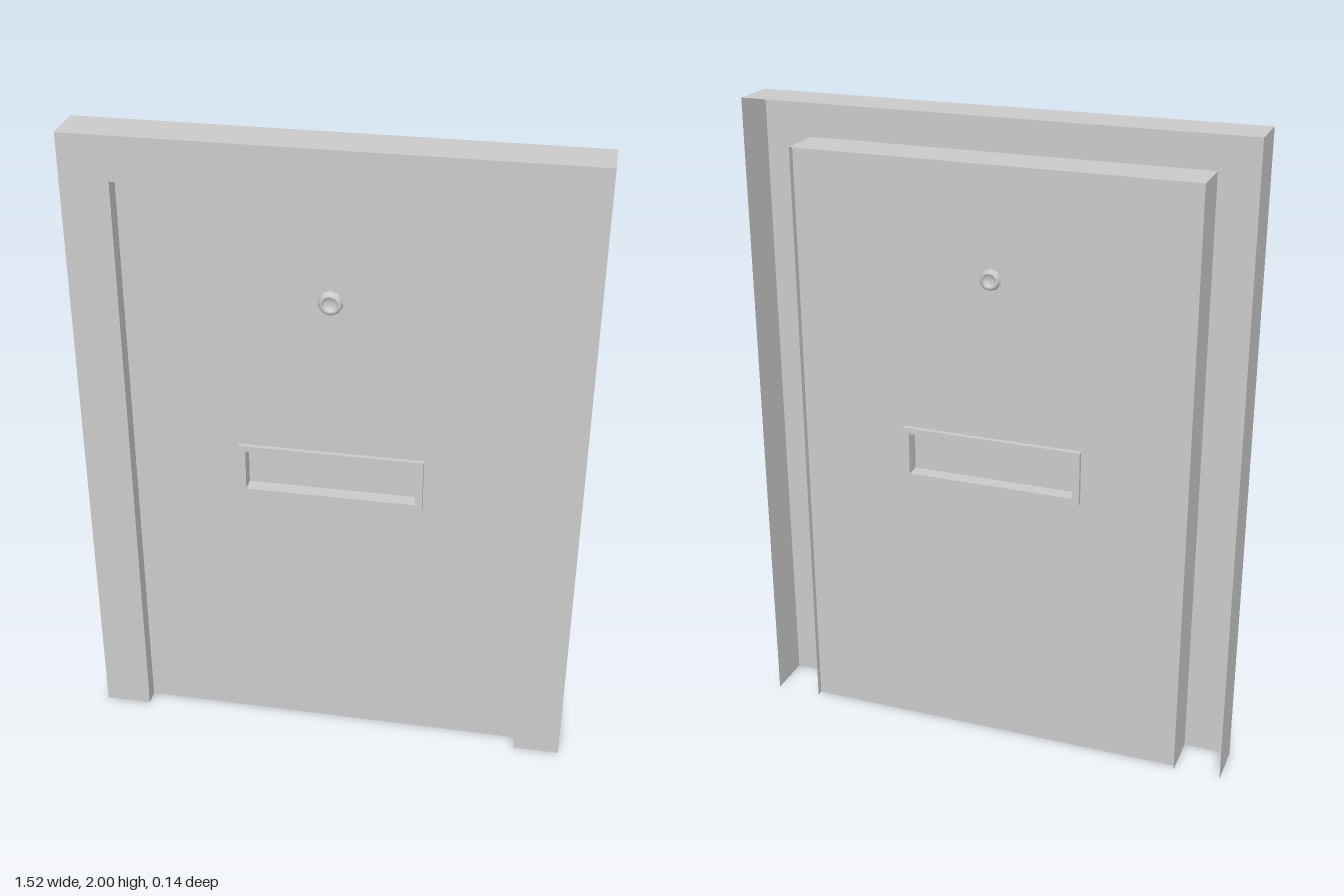
import * as THREE from 'three';

const mat = new THREE.MeshStandardMaterial({ color: 0xcccccc, flatShading: true });
const sheetMat = new THREE.MeshStandardMaterial({ color: 0xcccccc, flatShading: true, side: THREE.DoubleSide });
const smoothMat = new THREE.MeshStandardMaterial({ color: 0xcccccc, side: THREE.DoubleSide });

const W = 0.762, H = 2, D = 0.072;             // frame half width, height, half depth
const IW = 0.616, IH = 1.867;                  // opening half width and height
const DOOR_FRONT = 0.022, DOOR_BACK = -0.052;
const MID = (DOOR_FRONT + DOOR_BACK) / 2;
const SLOT_Y = 0.945, EYE_Y = 1.527;

function add(parent, name, geometry, material = mat) {
  const mesh = new THREE.Mesh(geometry, material);
  mesh.name = name;
  parent.add(mesh);
  return mesh;
}

function rectangle(Type, x, y0, y1) {
  return new Type([[-x, y0], [x, y0], [x, y1], [-x, y1]].map(p => new THREE.Vector2(...p)));
}

function slab(shape, z0, z1) {
  return new THREE.ExtrudeGeometry(shape, { depth: z1 - z0, bevelEnabled: false }).translate(0, 0, z0);
}

// Thin wall running up, across and down an opening, from back to front
function archWall(halfWidth, height) {
  const pos = [], path = [[-halfWidth, 0], [-halfWidth, height], [halfWidth, height], [halfWidth, 0]];
  for (let i = 0; i < 3; i++) {
    const [ax, ay] = path[i], [bx, by] = path[i + 1];
    pos.push(ax, ay, -D, ax, ay, D, bx, by, D, ax, ay, -D, bx, by, D, bx, by, -D);
  }
  const g = new THREE.BufferGeometry();
  g.setAttribute('position', new THREE.Float32BufferAttribute(pos, 3));
  g.computeVertexNormals();
  return g;
}

export function createModel() {
  const model = new THREE.Group();
  model.name = 'door';

  // Hollow frame, open at the back and bottom
  const frame = new THREE.Group();
  frame.name = 'frame';
  model.add(frame);
  const face = new THREE.Shape([
    [-W, 0], [-IW, 0], [-IW, IH], [IW, IH], [IW, 0], [W, 0], [W, H], [-W, H],
  ].map(p => new THREE.Vector2(...p)));
  add(frame, 'frameFace', new THREE.ShapeGeometry(face).translate(0, 0, D), sheetMat);
  add(frame, 'frameOuterWall', archWall(W, H), sheetMat);
  add(frame, 'frameReveal', archWall(IW, IH), sheetMat);

  // Door leaf with a hole for the letter slot
  const leaf = rectangle(THREE.Shape, IW, 0, IH);
  leaf.holes.push(rectangle(THREE.Path, 0.284, SLOT_Y - 0.085, SLOT_Y + 0.085));
  add(model, 'doorLeaf', slab(leaf, DOOR_BACK, DOOR_FRONT));

  // Letter slot: raised surround on both sides and a flap between
  const surround = rectangle(THREE.Shape, 0.284, SLOT_Y - 0.085, SLOT_Y + 0.085);
  surround.holes.push(rectangle(THREE.Path, 0.262, SLOT_Y - 0.066, SLOT_Y + 0.066));
  add(model, 'letterSlotSurround', slab(surround, DOOR_BACK - 0.014, DOOR_FRONT + 0.014));
  add(model, 'letterSlotFlap', new THREE.BoxGeometry(0.53, 0.138, 0.008)).position.set(0, SLOT_Y, MID);

  // Peephole: rounded ring with a sunken lens, larger on the front
  const profile = [[0, 0.006], [0.019, 0.006], [0.021, 0.016], [0.027, 0.018], [0.034, 0.012], [0.037, 0]]
    .map(p => new THREE.Vector2(...p)).reverse();
  for (const [name, z, turn, scale] of [
    ['peepholeFront', DOOR_FRONT, Math.PI / 2, 1],
    ['peepholeBack', DOOR_BACK, -Math.PI / 2, 0.88],
  ]) {
    const eye = add(model, name, new THREE.LatheGeometry(profile, 10), smoothMat);
    eye.rotation.x = turn;
    eye.scale.setScalar(scale);
    eye.position.set(0, EYE_Y, z);
  }
  return model;
}
